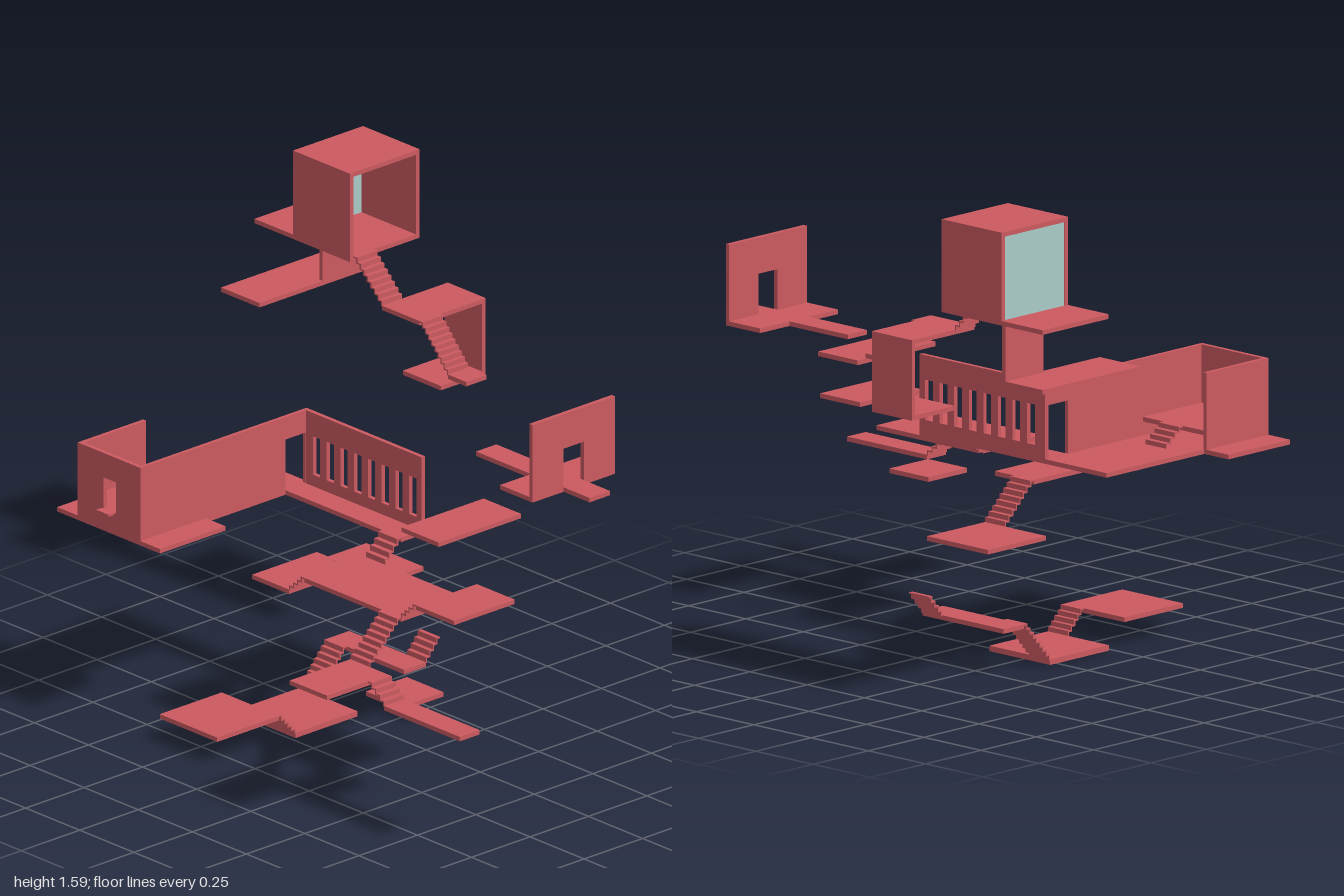
import * as THREE from 'three';

const T = 0.015; // slab and wall thickness
const red = new THREE.MeshStandardMaterial({ color: 0xcb5a60 });
const glass = new THREE.MeshStandardMaterial({ color: 0xa9cbc8 });

export function createModel() {
  const model = new THREE.Group();

  const add = (parent, name, geometry, material = red) => {
    const mesh = new THREE.Mesh(geometry, material);
    mesh.name = name;
    parent.add(mesh);
    return mesh;
  };
  const group = (name) => {
    const g = new THREE.Group();
    g.name = name;
    model.add(g);
    return g;
  };
  // Block given by its limits on each axis
  const block = (parent, name, x0, x1, y0, y1, z0, z1, material) => {
    const g = new THREE.BoxGeometry(x1 - x0, y1 - y0, z1 - z0);
    g.translate((x0 + x1) / 2, (y0 + y1) / 2, (z0 + z1) / 2);
    return add(parent, name, g, material);
  };
  // Floor slab given by the height of its top
  const slab = (parent, name, x0, x1, top, z0, z1) =>
    block(parent, name, x0, x1, top - T, top, z0, z1);

  // Extrude a (run, height) outline across a..b; the run lies along x or z
  const extrude = (parent, name, shape, axis, a, b) => {
    const g = new THREE.ExtrudeGeometry(shape, { depth: b - a, bevelEnabled: false });
    if (axis === 'x') g.translate(0, 0, a);
    else g.rotateY(-Math.PI / 2).translate(b, 0, 0);
    return add(parent, name, g);
  };
  const rect = (Kind, u0, u1, y0, y1) => new Kind([
    [u0, y0], [u1, y0], [u1, y1], [u0, y1],
  ].map(([u, y]) => new THREE.Vector2(u, y)));
  const wall = (parent, name, axis, [u0, u1, y0, y1], a, b, openings = []) => {
    const shape = rect(THREE.Shape, u0, u1, y0, y1);
    for (const o of openings) shape.holes.push(rect(THREE.Path, ...o));
    return extrude(parent, name, shape, axis, a, b);
  };

  // Thin folded stair rising from (u0, y0) to (u1, y1), a..b wide
  const stair = (parent, name, axis, u0, y0, u1, y1, a, b) => {
    const n = Math.round((y1 - y0) / 0.0162);
    const run = (u1 - u0) / n, rise = (y1 - y0) / n, t = 0.005;
    const top = [[u0, y0]];
    for (let i = 0; i < n; i++) {
      top.push([u0 + i * run, y0 + (i + 1) * rise], [u0 + (i + 1) * run, y0 + (i + 1) * rise]);
    }
    const under = top.map(([u, y]) => [u + t * Math.sign(run), y - t]).reverse();
    under[0][0] = u1;
    const shape = new THREE.Shape([...top, ...under].map(([u, y]) => new THREE.Vector2(u, y)));
    return extrude(parent, name, shape, axis, a, b);
  };

  // Lowest walkway
  const low = group('lowerWalkway');
  slab(low, 'leftTerrace', -0.57, -0.305, 0.095, -0.365, -0.1);
  stair(low, 'leftStair', 'x', -0.235, 0.018, -0.305, 0.095, -0.187, -0.1);
  block(low, 'bottomTerrace', -0.235, 0.03, 0, 0.018, -0.365, -0.1);
  stair(low, 'rightStair', 'x', 0.03, 0.018, 0.147, 0.152, -0.365, -0.277);
  slab(low, 'rightLanding', 0.147, 0.24, 0.152, -0.365, -0.01);
  stair(low, 'endStair', 'x', 0.24, 0.152, 0.3, 0.222, -0.097, -0.01);

  // Central platform and the flights leading off it
  const mid = group('centralPlatform');
  slab(mid, 'mainFloor', -0.33, -0.07, 0.613, 0.045, 0.49);
  stair(mid, 'frontStair', 'z', 0.49, 0.613, 0.56, 0.675, -0.33, -0.245);
  slab(mid, 'frontTerrace', -0.33, -0.07, 0.675, 0.56, 0.735);
  stair(mid, 'leftStair', 'x', -0.465, 0.483, -0.33, 0.613, 0.403, 0.49);
  slab(mid, 'leftTerrace', -0.725, -0.465, 0.483, 0.403, 0.575);
  stair(mid, 'farLeftStair', 'z', 0.65, 0.422, 0.575, 0.483, -0.55, -0.465);
  slab(mid, 'leftWalkway', -0.55, -0.465, 0.422, 0.65, 1.0);
  slab(mid, 'lowTerrace', -0.48, -0.305, 0.404, 0.49, 0.66);
  stair(mid, 'rearStair', 'z', -0.027, 0.552, 0.045, 0.613, -0.33, -0.245);
  slab(mid, 'rearTerrace', -0.33, -0.07, 0.552, -0.197, -0.027);
  stair(mid, 'rightStair', 'x', 0.06, 0.424, -0.07, 0.552, -0.197, -0.11);
  slab(mid, 'rightTerrace', 0.06, 0.322, 0.424, -0.375, -0.11);
  stair(mid, 'houseStair', 'x', -0.07, 0.613, 0, 0.685, 0.047, 0.135);

  // Open-topped house with a windowed corridor
  const house = group('house');
  const F = 0.685, H = 0.933;
  slab(house, 'leftFloor', -0.62, -0.34, F, -0.785, -0.31);
  slab(house, 'rightFloor', -0.34, 0.102, F, -0.68, -0.4);
  slab(house, 'corridorFloor', 0, 0.102, F, -0.4, 0.135);
  wall(house, 'frontWall', 'x', [-0.62, 0.087, F, H], -0.413, -0.4,
    [[0, 0.0865, F + 0.001, 0.857]]);
  const windows = [];
  for (let i = 0; i < 8; i++) {
    const z = 0.094 - i * 0.0635;
    windows.push([z - 0.017, z + 0.017, 0.724, 0.854]);
  }
  wall(house, 'windowWall', 'z', [-0.413, 0.135, F, H], 0.087, 0.102, windows);
  wall(house, 'leftWall', 'z', [-0.69, -0.413, F, H], -0.62, -0.605,
    [[-0.572, -0.514, 0.745, 0.85]]);
  wall(house, 'backWall', 'x', [-0.605, -0.34, F, H], -0.69, -0.676);
  slab(house, 'raisedFloor', -0.605, -0.34, 0.745, -0.676, -0.413);
  stair(house, 'innerStair', 'x', -0.262, F, -0.34, 0.745, -0.588, -0.5);
  block(house, 'doorLedge', -0.645, -0.605, 0.738, 0.745, -0.578, -0.52);

  // Floating slab and crossing with a doorway
  slab(group('floatingSlab'), 'slab', -0.245, 0.107, 0.868, 0.4, 0.573);
  const cross = group('doorwayCrossing');
  slab(cross, 'crossFloor', 0.02, 0.372, 0.989, 0.57, 0.72);
  slab(cross, 'frontPath', 0.153, 0.24, 0.989, 0.72, 0.84);
  slab(cross, 'rearPath', 0.153, 0.24, 0.989, 0.315, 0.57);
  wall(cross, 'doorwayWall', 'x', [0.02, 0.372, 0.989, 1.237], 0.705, 0.72,
    [[0.153, 0.24, 0.9895, 1.12]]);

  // Right-hand climb
  const climb = group('rightClimb');
  slab(climb, 'landing', 0.44, 0.527, 1.038, -0.125, -0.04);
  stair(climb, 'lowerStair', 'z', -0.125, 1.038, -0.255, 1.18, 0.44, 0.527);
  slab(climb, 'upperFloor', 0.44, 0.722, 1.18, -0.43, -0.255);
  block(climb, 'sideWall', 0.707, 0.722, 0.92, 1.165, -0.43, -0.255);
  slab(climb, 'lowerFloor', 0.53, 0.707, 0.935, -0.43, -0.255);
  stair(climb, 'upperStair', 'z', -0.43, 1.18, -0.56, 1.308, 0.44, 0.527);

  // Glazed lookout, open to the front
  const look = group('lookout');
  const [x0, x1, y0, y1, z0, z1] = [0.423, 0.722, 1.293, 1.593, -0.822, -0.56];
  block(look, 'floor', x0, x1, y0, y0 + T, z0, z1);
  block(look, 'roof', x0, x1, y1 - T, y1, z0, z1);
  block(look, 'leftWall', x1 - T, x1, y0 + T, y1 - T, z0, z1);
  block(look, 'rightWall', x0, x0 + T, y0 + T, y1 - T, z0, z1);
  block(look, 'windowPane', x0 + T, x1 - T, y0 + T, y1 - T, z0 + 0.002, z0 + 0.01, glass);
  const cx = 0.576, cy = 1.45, m = 0.003;
  block(look, 'uprightBar', cx - m, cx + m, y0 + T, y1 - T, z0 + 0.01, z0 + 0.014);
  block(look, 'crossBar', x0 + T, x1 - T, cy - m, cy + m, z0 + 0.01, z0 + 0.014);
  // Rear balconies joined by a wall
  slab(look, 'upperBalcony', x0, x1, y0 + T, -1.0, z0);
  block(look, 'balconyWall', 0.55, x1, 1.115, y0, -0.838, -0.823);
  slab(look, 'lowerBalcony', 0.28, x1, 1.115, -1.0, -0.823);

  return model;
}
